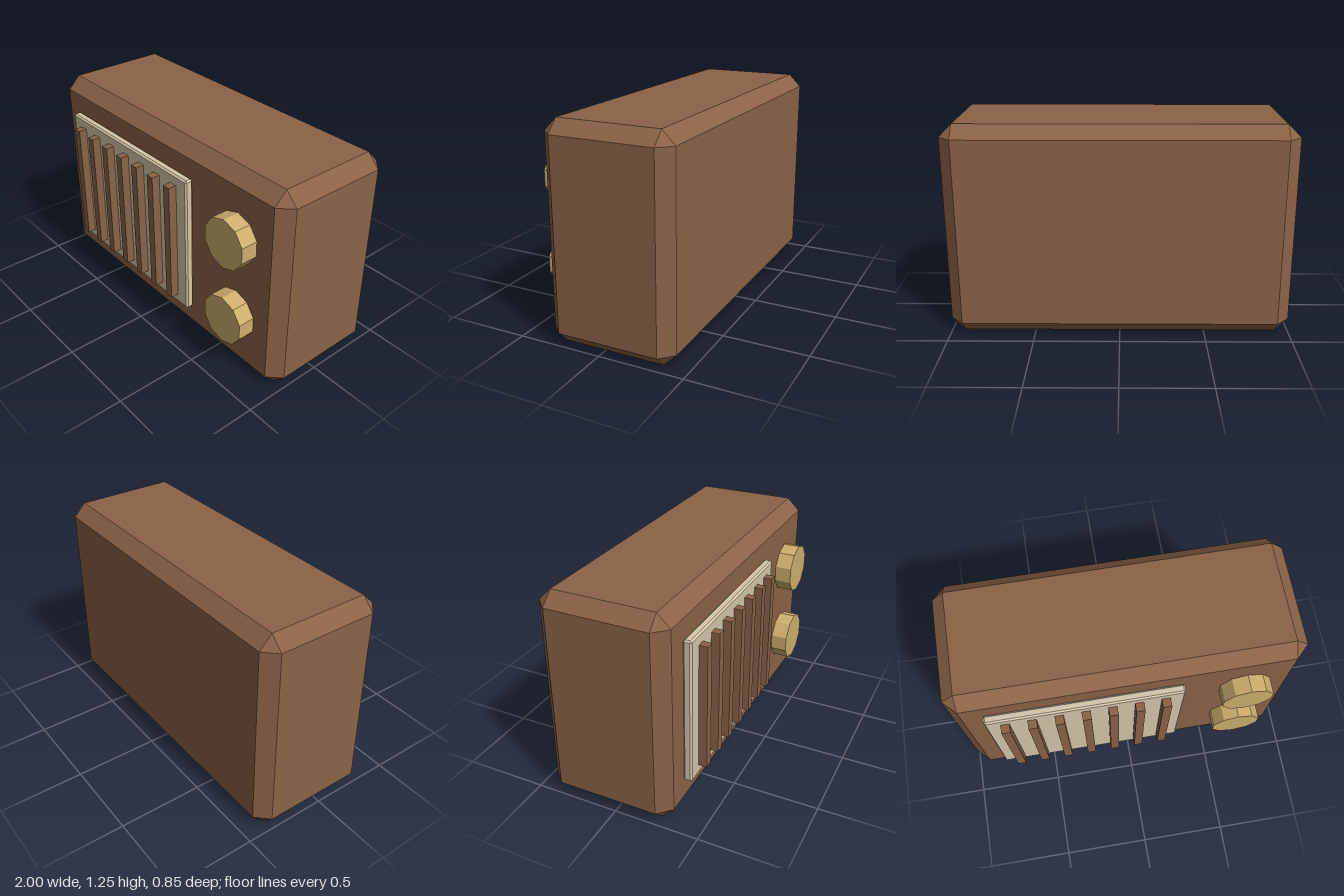
import * as THREE from 'three';
import { ConvexGeometry } from 'three/addons/geometries/ConvexGeometry.js';

// Box with flat bevelled edges and triangular corners
function bevelledBox(w, h, d, bevel) {
  const points = [];
  for (const sx of [-1, 1]) for (const sy of [-1, 1]) for (const sz of [-1, 1]) {
    for (let axis = 0; axis < 3; axis++) {
      const half = [w / 2, h / 2, d / 2].map((v, i) => (i === axis ? v : v - bevel));
      points.push(new THREE.Vector3(sx * half[0], sy * half[1], sz * half[2]));
    }
  }
  return new ConvexGeometry(points);
}

export function createModel() {
  const model = new THREE.Group();
  model.name = 'tabletopRadio';

  const material = (name, color) => {
    const m = new THREE.MeshStandardMaterial({ color, flatShading: true });
    m.name = name;
    return m;
  };
  const wood = material('brown wood', 0x8b6347);
  const cream = material('cream', 0xd6c7aa);
  const brass = material('brass', 0xcdaf6e);

  const add = (name, geometry, mat, x, y, z) => {
    const mesh = new THREE.Mesh(geometry, mat);
    mesh.name = name;
    mesh.position.set(x, y, z);
    model.add(mesh);
  };

  // Cabinet
  add('cabinet', bevelledBox(2, 1.25, 0.75, 0.075), wood, 0, 0.625, -0.05);

  // Speaker panel with vertical slats
  add('speakerPanel', bevelledBox(1.12, 0.87, 0.05, 0.01), cream, -0.25, 0.627, 0.35);
  const slat = new THREE.BoxGeometry(0.05, 0.75, 0.06);
  for (let i = 0; i < 7; i++) {
    add(`speakerSlat${i + 1}`, slat, wood, -0.7 + i * 0.15, 0.627, 0.395);
  }

  // Ten-sided knobs facing forward
  const knob = new THREE.CylinderGeometry(0.15, 0.15, 0.1, 10).rotateX(Math.PI / 2);
  add('upperKnob', knob, brass, 0.673, 0.877, 0.375);
  add('lowerKnob', knob, brass, 0.673, 0.377, 0.375);

  return model;
}
